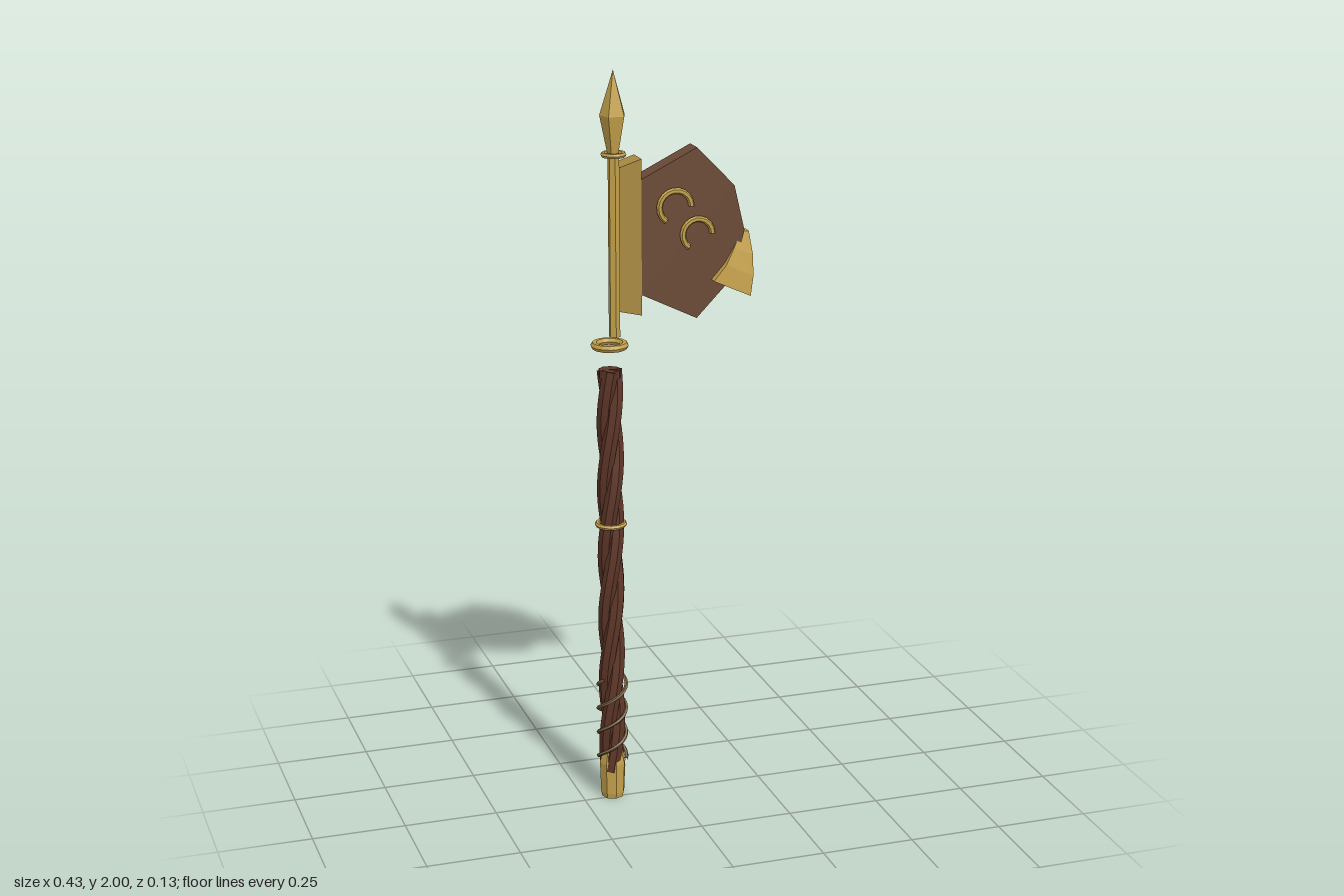
import * as THREE from 'three';

const mat = (color, opts = {}) => new THREE.MeshStandardMaterial({ color, flatShading: true, ...opts });

// Helix around the y axis
class Helix extends THREE.Curve {
  constructor(radius, y0, y1, pitch, phase) {
    super();
    Object.assign(this, { radius, y0, y1, pitch, phase });
  }
  getPoint(t, out = new THREE.Vector3()) {
    const y = this.y0 + (this.y1 - this.y0) * t;
    const a = this.phase - ((y - this.y0) / this.pitch) * Math.PI * 2;
    return out.set(this.radius * Math.cos(a), y, this.radius * Math.sin(a));
  }
}

// Solid skinned over quad sections, with both ends capped
function loft(sections) {
  const n = sections[0].length, pos = sections.flat(2), index = [];
  for (let s = 0; s < sections.length - 1; s++) {
    for (let i = 0; i < n; i++) {
      const a = s * n + i, b = s * n + ((i + 1) % n);
      index.push(a, b, a + n, b, b + n, a + n);
    }
  }
  const e = (sections.length - 1) * n;
  index.push(0, 2, 1, 0, 3, 2, e, e + 1, e + 2, e, e + 2, e + 3);
  const g = new THREE.BufferGeometry();
  g.setAttribute('position', new THREE.Float32BufferAttribute(pos, 3));
  g.setIndex(index);
  const flat = g.toNonIndexed();
  flat.computeVertexNormals();
  return flat;
}

// Outline in x, y given a thickness from z0 to z1
function plate(points, z0, z1) {
  const shape = new THREE.Shape(points.map(([x, y]) => new THREE.Vector2(x, y)));
  const g = new THREE.ExtrudeGeometry(shape, { depth: z1 - z0, bevelEnabled: false });
  return g.translate(0, 0, z0);
}

export function createModel() {
  const model = new THREE.Group();
  const gold = mat(0xc4a14a), darkGold = mat(0xa88a40);
  const wood = mat(0x5e3628), blade = mat(0x6b4a36), cord = mat(0x80694a);
  const AX = -0.167, AZ = -0.014;

  const add = (name, geometry, material, x = 0, y = 0, z = 0, parent = model) => {
    const mesh = new THREE.Mesh(geometry, material);
    mesh.name = name;
    mesh.position.set(x, y, z);
    parent.add(mesh);
    return mesh;
  };
  const ring = (name, y, radius, tube, x, z) =>
    add(name, new THREE.TorusGeometry(radius, tube, 6, 14).rotateX(Math.PI / 2), gold, x, y, z);

  // Handle of three twisted strands
  const handle = new THREE.Group();
  handle.name = 'handle';
  handle.position.set(AX, 0, AZ);
  model.add(handle);
  for (let i = 0; i < 3; i++) {
    const path = new Helix(0.015, 0.08, 1.21, 0.55, (i * Math.PI * 2) / 3);
    add('handleStrand', new THREE.TubeGeometry(path, 48, 0.021, 7), wood, 0, 0, 0, handle);
  }
  add('handleTop', new THREE.CylinderGeometry(0.03, 0.03, 0.02, 9), wood, 0, 1.2, 0, handle);

  // Cord wound round the grip
  for (let i = 0; i < 2; i++) {
    const path = new Helix(0.038, 0.11, 0.35, 0.14, i * Math.PI + 0.6);
    add('gripCord', new THREE.TubeGeometry(path, 48, 0.005, 5), cord, 0, 0, 0, handle);
  }

  // Pommel
  const pommel = [[0, 0], [0.03, 0], [0.033, 0.015], [0.036, 0.1], [0.028, 0.135], [0, 0.135]];
  add('pommel', new THREE.LatheGeometry(pommel.map(([r, y]) => new THREE.Vector2(r, y)), 8), gold, AX, 0, AZ);

  // Rings on the shaft
  ring('middleRing', 0.785, 0.036, 0.007, AX, AZ);
  ring('upperRing', 1.275, 0.04, 0.01, AX, AZ);

  // Spear: rod, collar and five-sided point
  const SZ = 0.031;
  add('spearRod', new THREE.CylinderGeometry(0.015, 0.015, 0.48, 6), gold, AX, 1.55, SZ);
  ring('spearCollar', 1.785, 0.026, 0.007, AX, SZ);
  const point = [[0, 1.78], [0.014, 1.78], [0.035, 1.885], [0, 2]];
  add('spearPoint', new THREE.LatheGeometry(point.map(([r, y]) => new THREE.Vector2(r, y)), 5, Math.PI), gold, AX, 0, SZ);

  // Axe head: mounting block and faceted blade
  add('bladeMount', plate([[-0.15, 1.37], [-0.088, 1.355], [-0.088, 1.765], [-0.15, 1.745]], -0.047, 0.015), darkGold);
  const outline = [[-0.09, 1.41], [0.062, 1.335], [0.164, 1.44], [0.192, 1.56], [0.164, 1.68], [0.062, 1.785], [-0.09, 1.71]];
  add('blade', plate(outline, -0.043, 0.012), blade);

  // Flared cutting edge, from its broad lower end to its narrow upper end
  const edge = [
    [0.102, 1.435, 0.203, 1.388, 0.05],
    [0.138, 1.475, 0.212, 1.44, 0.045],
    [0.162, 1.515, 0.214, 1.495, 0.034],
    [0.185, 1.555, 0.207, 1.555, 0.02],
  ].map(([xi, yi, xo, yo, h]) => [
    [xi, yi, -0.016 + h], [xo, yo, -0.016 + h], [xo, yo, -0.016 - h], [xi, yi, -0.016 - h],
  ]);
  add('cuttingEdge', loft(edge), gold);

  // Crescent ornaments on the front of the blade
  for (const [x, y, r] of [[0.002, 1.635, 0.043], [0.062, 1.56, 0.04]]) {
    add('crescent', new THREE.TorusGeometry(r, 0.008, 6, 12, Math.PI * 1.3), gold, x, y, 0.018);
  }
  return model;
}
